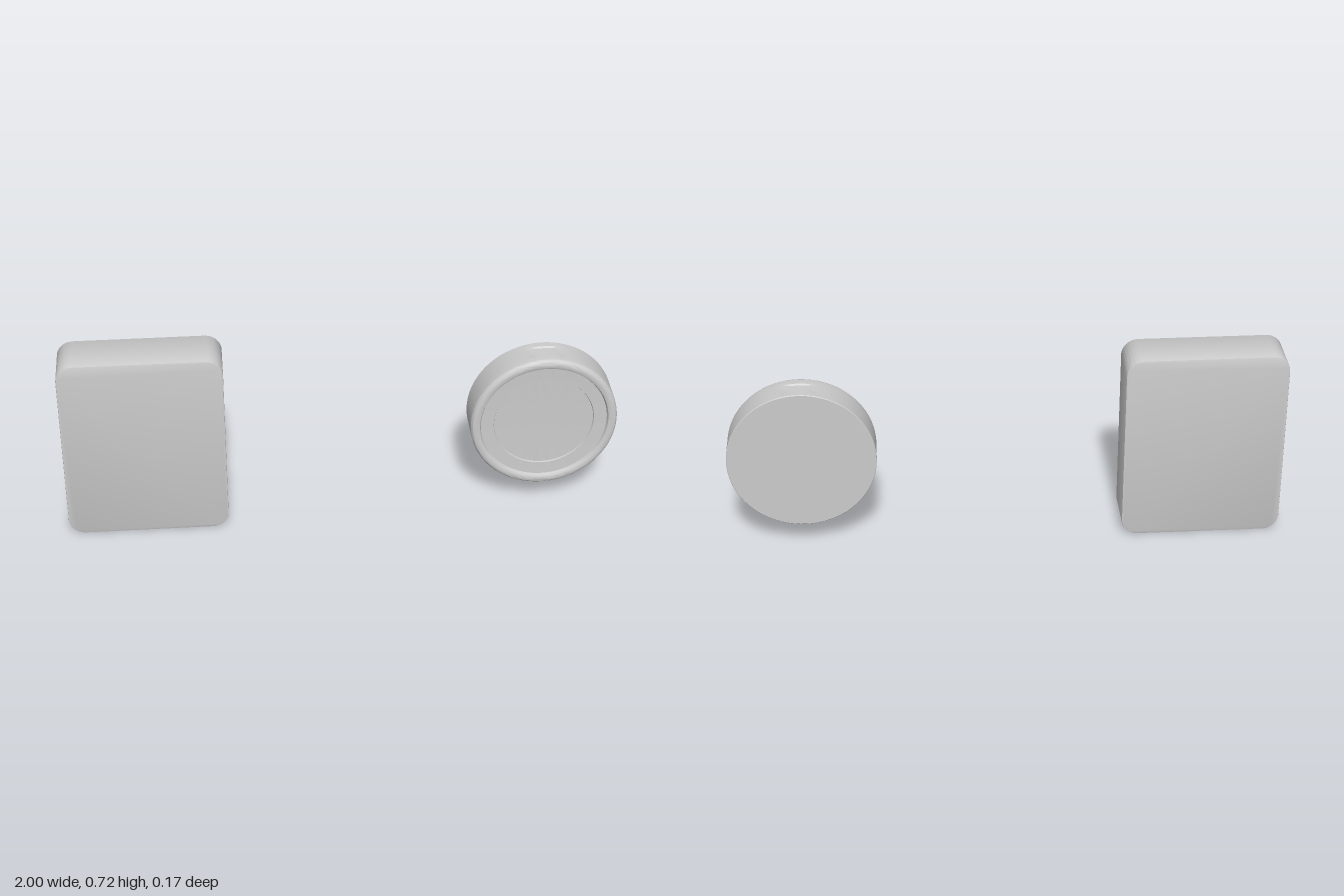
import * as THREE from 'three';
import { toCreasedNormals } from 'three/addons/utils/BufferGeometryUtils.js';

const material = new THREE.MeshStandardMaterial({ color: 0xcccccc });
const BACK = -0.087;

function addPart(group, name, geometry) {
  const mesh = new THREE.Mesh(toCreasedNormals(geometry, 0.6), material);
  mesh.name = name;
  group.add(mesh);
  return mesh;
}

// Rounded rectangle centred on the origin
function roundedRect(w, h, r) {
  const x = w / 2 - r, y = h / 2 - r;
  const s = new THREE.Shape();
  s.absarc(x, y, r, 0, Math.PI / 2);
  s.absarc(-x, y, r, Math.PI / 2, Math.PI);
  s.absarc(-x, -y, r, Math.PI, Math.PI * 1.5);
  s.absarc(x, -y, r, Math.PI * 1.5, Math.PI * 2);
  s.closePath();
  return s;
}

// Block with rounded corners and a very fine edge bevel
function blockGeometry(w, h, depth, radius) {
  const b = 0.003;
  const g = new THREE.ExtrudeGeometry(roundedRect(w - 2 * b, h - 2 * b, radius - b), {
    depth: depth - 2 * b, bevelThickness: b, bevelSize: b, bevelSegments: 2, curveSegments: 10,
  });
  return g.translate(0, 0, b);
}

// Round puck: rounded front lip, dished face, small flat slot on top
function puckGeometry() {
  const R = 0.267, front = 0.043, fillet = 0.016;
  const slotBack = -0.055, slotFront = -0.005, slotTop = 0.261;
  const profile = [
    [0, BACK], [R - 0.002, BACK], [R, BACK + 0.002],
    [R, slotBack - 0.004], [R, slotBack], [R, slotFront], [R, slotFront + 0.004],
  ];
  for (let i = 0; i <= 6; i++) {
    const a = (i / 6) * Math.PI / 2;
    profile.push([R - fillet + fillet * Math.cos(a), front - fillet + fillet * Math.sin(a)]);
  }
  profile.push([0.24, front], [0.234, 0.04], [0.23, 0.03], [0.183, 0.028], [0.181, 0.023], [0, 0.023]);
  const g = new THREE.LatheGeometry(profile.map(([r, z]) => new THREE.Vector2(r, z)), 96);
  g.rotateX(Math.PI / 2);
  const p = g.attributes.position;
  for (let i = 0; i < p.count; i++) {
    const z = p.getZ(i);
    if (z > slotBack - 0.001 && z < slotFront + 0.001 && p.getY(i) > slotTop) p.setY(i, slotTop);
  }
  return g;
}

export function createModel() {
  const model = new THREE.Group();
  model.name = 'blockAndPuck';
  addPart(model, 'block', blockGeometry(0.58, 0.718, 0.173, 0.06)).position.set(-0.71, 0.36, BACK);
  addPart(model, 'puck', puckGeometry()).position.set(0.733, 0.362, 0);
  return model;
}
